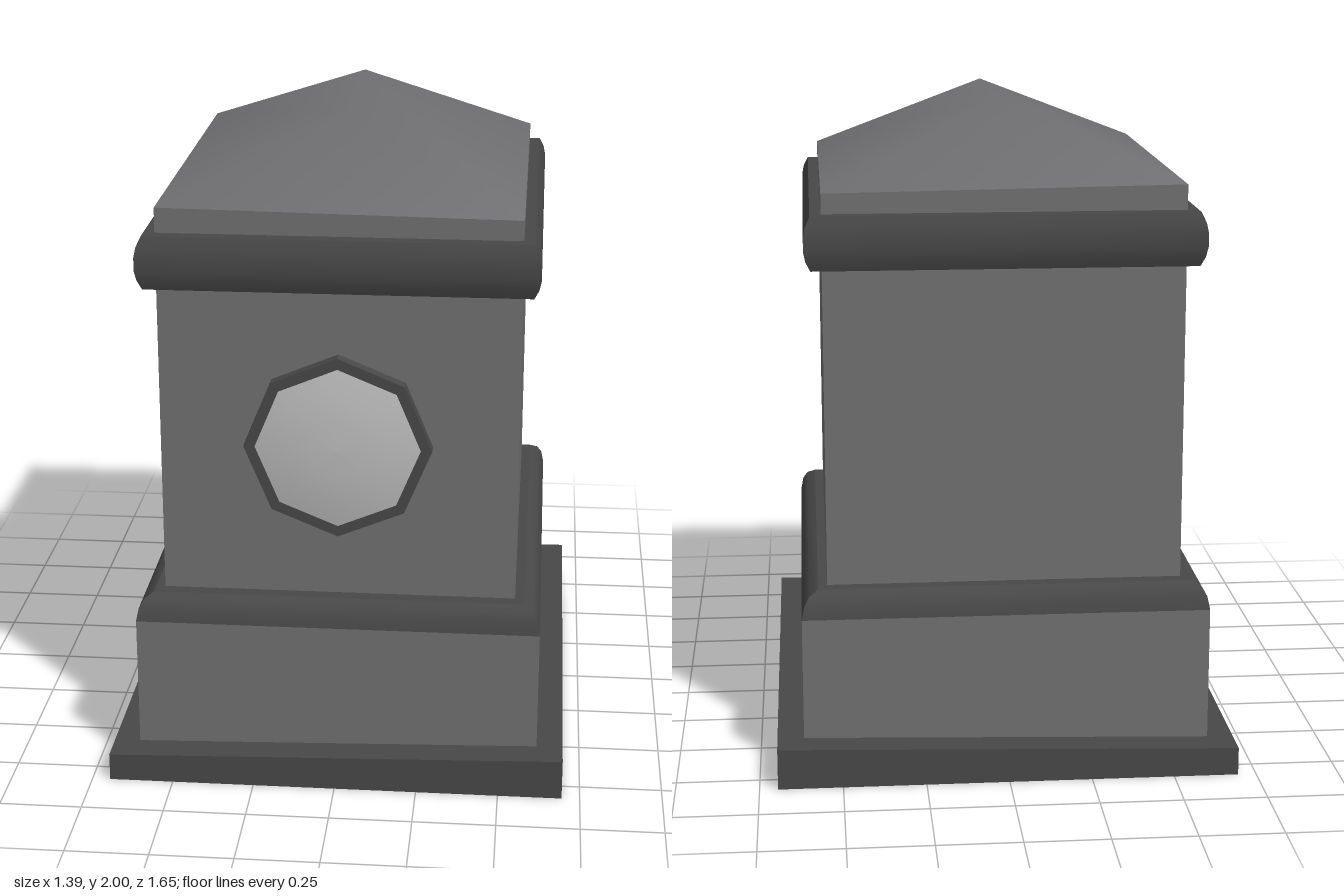
import * as THREE from 'three';

const mat = (name, color, extra = {}) => new THREE.MeshStandardMaterial({ name, color, ...extra });

// Rectangular mitred band. Each ring is [half width, half depth, height at left -x, height at +x];
// every side has its own vertices, so corners stay crisp while the profile is smooth.
function band(rings) {
  const pos = [], idx = [];
  const corners = [[-1, 1], [1, 1], [1, -1], [-1, -1]];
  for (let s = 0; s < 4; s++) {
    const base = pos.length / 3;
    for (const [hx, hz, yNeg, yPos = yNeg] of rings) {
      for (const [sx, sz] of [corners[s], corners[(s + 1) % 4]]) {
        pos.push(sx * hx, sx < 0 ? yNeg : yPos, sz * hz);
      }
    }
    for (let i = 0; i < rings.length - 1; i++) {
      const a = base + i * 2;
      idx.push(a, a + 1, a + 3, a, a + 3, a + 2);
    }
  }
  return indexed(pos, idx);
}

function indexed(pos, idx) {
  const g = new THREE.BufferGeometry();
  g.setAttribute('position', new THREE.Float32BufferAttribute(pos, 3));
  g.setIndex(idx);
  g.computeVertexNormals();
  return g;
}

export function createModel() {
  const model = new THREE.Group();
  const stone = mat('grey stone', 0x707072);
  const trim = mat('dark stone', 0x484848, { side: THREE.DoubleSide });
  const pale = mat('pale plaque', 0xbcbcbc);
  const add = (name, geometry, material) => {
    const m = new THREE.Mesh(geometry, material);
    m.name = name;
    model.add(m);
    return m;
  };

  // Base slab, open underneath, its top sloping slightly across x
  add('slabSides', band([[0.695, 0.825, 0], [0.695, 0.825, 0.085, 0.125]]), trim);
  add('slabTop', band([[0.695, 0.825, 0.085, 0.125], [0, 0, 0.105]]), trim);

  // Plinth and its rounded moulding
  add('plinth', band([[0.615, 0.73, 0.087, 0.123], [0.615, 0.73, 0.495]]), stone);
  add('plinthMoulding', band([
    [0.615, 0.73, 0.495], [0.607, 0.722, 0.535], [0.592, 0.705, 0.56], [0.565, 0.68, 0.575],
  ]), trim);
  add('plinthLedge', band([[0.565, 0.68, 0.575], [0.53, 0.635, 0.575]]), trim);

  // Main block, running up to the eaves
  const eaveL = 1.775, eaveR = 1.76, hx = 0.537, hz = 0.638;
  add('body', band([[hx, hz, 0.57], [hx, hz, eaveL, eaveR]]), stone);

  // Cornice with a rounded outer face
  add('corniceFace', band([
    [0.57, 0.682, 1.54], [0.584, 0.694, 1.57], [0.59, 0.7, 1.6],
    [0.59, 0.7, 1.64], [0.584, 0.694, 1.67], [0.57, 0.682, 1.7],
  ]), trim);
  add('corniceUnderside', band([[0.53, 0.63, 1.54], [0.57, 0.682, 1.54]]), trim);
  add('corniceTop', band([[0.57, 0.682, 1.7], [0.53, 0.63, 1.7]]), trim);

  // Hipped roof with softly blended faces
  add('roof', indexed([
    -hx, eaveL, hz, hx, eaveR, hz, hx, eaveR, -hz, -hx, eaveL, -hz,
    0, 2, 0.315, 0, 2, -0.315,
  ], [0, 1, 4, 1, 2, 5, 1, 5, 4, 2, 3, 5, 3, 0, 4, 3, 4, 5]), stone);

  // Octagonal medallion on the front
  const disc = (points) => new THREE.LatheGeometry(points.map(p => new THREE.Vector2(...p)), 8)
    .rotateX(Math.PI / 2).translate(0, 1.06, 0);
  const frame = disc([[0.282, 0.63], [0.282, 0.68], [0.248, 0.68]]).toNonIndexed();
  frame.computeVertexNormals();
  add('medallionFrame', frame, trim);
  add('medallionPlaque', disc([[0.248, 0.68], [0.17, 0.695], [0.085, 0.703], [0, 0.705]]), pale);

  return model;
}
